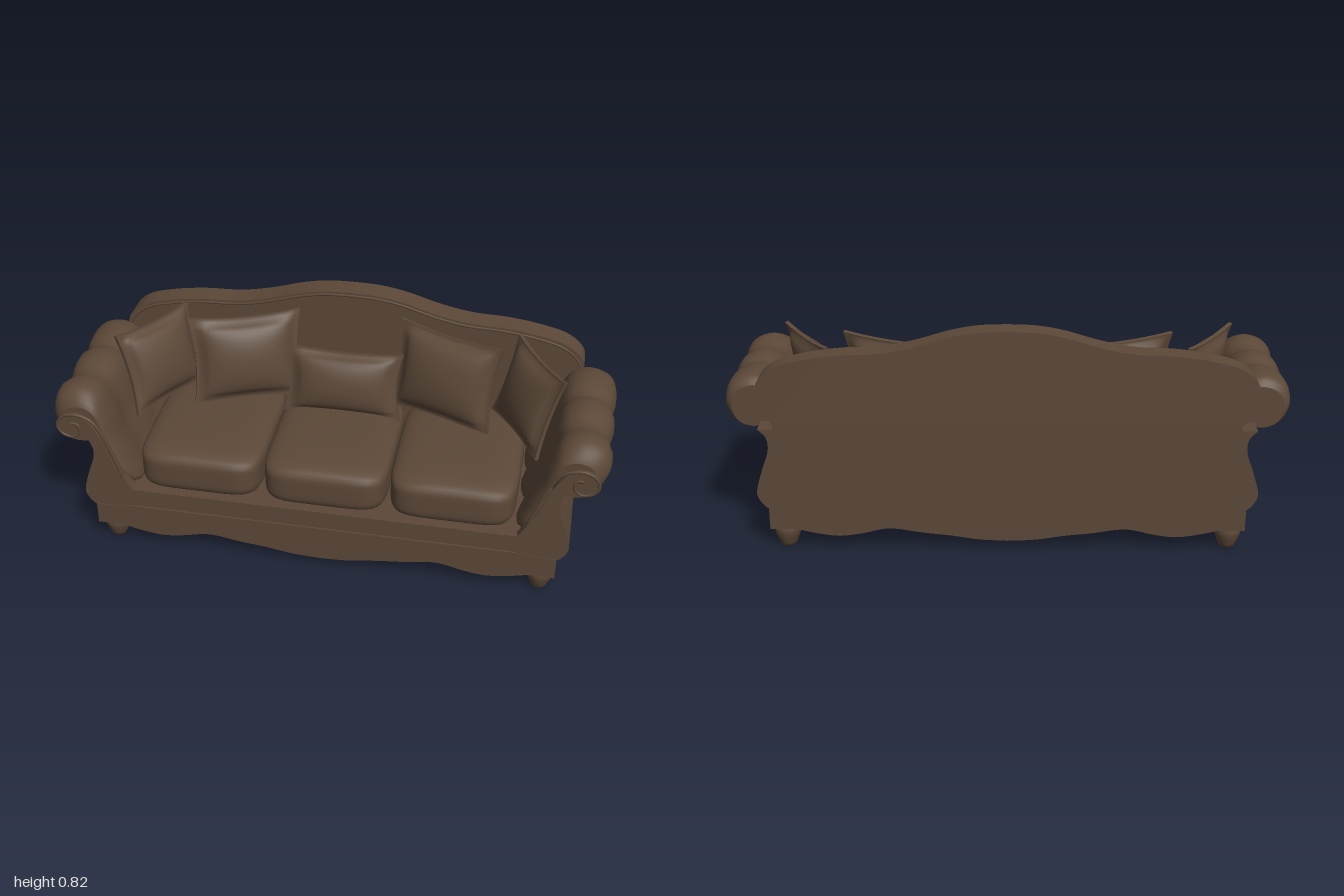
import * as THREE from 'three';
import { mergeVertices, toCreasedNormals } from 'three/addons/utils/BufferGeometryUtils.js';

const fabric = new THREE.MeshStandardMaterial({ color: 0x5c4838 });
fabric.name = 'brown upholstery';

const v2 = ([x, y]) => new THREE.Vector2(x, y);
const smooth = (pts, n = 6) => new THREE.SplineCurve(pts.map(v2)).getPoints(n * (pts.length - 1)).map(p => [p.x, p.y]);
const mirror = half => [...half, ...half.filter(p => p[0] > 1e-6).reverse().map(([x, y]) => [-x, y])];

function add(parent, name, geometry, x = 0, y = 0, z = 0) {
  const m = new THREE.Mesh(geometry, fabric);
  m.name = name;
  m.position.set(x, y, z);
  parent.add(m);
  return m;
}

// Front outline extruded between two depths
function slab(pts, z0, z1) {
  const g = new THREE.ExtrudeGeometry(new THREE.Shape(pts.map(v2)), { depth: z1 - z0, bevelEnabled: false });
  g.translate(0, 0, z0);
  return toCreasedNormals(g, 0.5);
}

function welt(pts, z, radius) {
  const curve = new THREE.CatmullRomCurve3(pts.map(([x, y]) => new THREE.Vector3(x, y, z)));
  return new THREE.TubeGeometry(curve, pts.length * 3, radius, 6);
}

// Puffed seat cushion: a box pulled onto a superellipsoid
function cushionGeometry(w, h, d) {
  let g = new THREE.BoxGeometry(2, 2, 2, 18, 12, 18);
  g.deleteAttribute('uv');
  g.deleteAttribute('normal');
  g = mergeVertices(g, 1e-4);
  const p = g.attributes.position, n = 6;
  for (let i = 0; i < p.count; i++) {
    const a = p.getX(i), b = p.getY(i), c = p.getZ(i);
    const s = 1 / Math.pow(Math.abs(a) ** n + Math.abs(b) ** n + Math.abs(c) ** n, 1 / n);
    const dome = b > 0 ? 1 - 0.1 * (a * a + c * c) : 1;
    p.setXYZ(i, a * s * w / 2, b * s * dome * h / 2, c * s * d / 2);
  }
  g.computeVertexNormals();
  return g;
}

// Throw pillow: pinched sides, pointed corners, flat flange round the edge
function pillowGeometry(w, h, t) {
  const g = new THREE.BoxGeometry(2, 2, 2, 22, 22, 1);
  const p = g.attributes.position;
  for (let i = 0; i < p.count; i++) {
    const u = p.getX(i), v = p.getY(i), side = Math.sign(p.getZ(i));
    const a = Math.min(1, Math.abs(u) / 0.88), b = Math.min(1, Math.abs(v) / 0.88);
    const puff = Math.pow((1 - a * a) * (1 - b * b), 0.45);
    p.setXYZ(i,
      u * w / 2 * (1 - 0.09 * (1 - v * v)),
      v * h / 2 * (1 - 0.09 * (1 - u * u)),
      side * (0.007 + t * puff));
  }
  g.computeVertexNormals();
  return g;
}

// Rolled arm padding: one section lofted along z, its size rippling with the tufts
function armGeometry(sx) {
  const section = [[.85, .443], [.91, .438], [.97, .462], [1, .53], [.975, .6], [.9, .63], [.83, .605],
    [.79, .53], [.76, .43], [.72, .33], [.69, .23], [.78, .23], [.82, .38]];
  const ring = new THREE.CatmullRomCurve3(section.map(([x, y]) => new THREE.Vector3(x, y, 0)), true).getPoints(52).slice(0, -1);
  const steps = [[.312, 0], [.312, .66], [.312, .66], [.302, .78], [.285, .89], [.25, .97], [.21, .99], [.17, .93],
    [.133, .86], [.1, .92], [.05, .98], [0, .985], [-.03, .93], [-.053, .89], [-.08, .94], [-.12, .985],
    [-.18, 1], [-.22, .97], [-.24, .9], [-.25, .8], [-.25, .8], [-.25, 0]];
  const cx = .86, cy = .46, n = ring.length, pos = [], idx = [];
  for (const [z, s] of steps)
    for (const q of ring) pos.push(sx * (cx + (q.x - cx) * s), cy + (q.y - cy) * s, z);
  for (let i = 0; i < steps.length - 1; i++)
    for (let j = 0; j < n; j++) {
      const a = i * n + j, b = i * n + (j + 1) % n, c = a + n, d = b + n;
      if (sx > 0) idx.push(a, c, b, b, c, d);
      else idx.push(a, b, c, b, d, c);
    }
  const g = new THREE.BufferGeometry();
  g.setAttribute('position', new THREE.Float32BufferAttribute(pos, 3));
  g.setIndex(idx);
  g.computeVertexNormals();
  return g;
}

export function createModel() {
  const sofa = new THREE.Group();
  sofa.name = 'sofa';

  // Frame with scalloped lower edge and swelling sides
  const scallop = smooth([[0, .035], [.1, .04], [.2, .055], [.3, .066], [.42, .082], [.52, .062], [.6, .052], [.68, .062], [.75, .078]]);
  const flank = smooth([[.85, .16], [.873, .185], [.885, .225], [.865, .3], [.838, .38], [.842, .43], [.87, .462]]);
  add(sofa, 'frame', slab(mirror([...scallop, [.847, .078], [.847, .16], ...flank,
    [.8, .462], [.75, .34], [.71, .24], [0, .24]]), -.332, .33));

  // Apron board and the rail above it
  add(sofa, 'apron', slab(mirror([...scallop, [.847, .078], [.847, .165], [0, .165]]), .325, .337));
  add(sofa, 'apronWelt', new THREE.BoxGeometry(1.48, .008, .012), 0, .168, .331);
  add(sofa, 'seatRailWelt', new THREE.BoxGeometry(1.42, .01, .012), 0, .24, .328);

  // Camel back
  const crest = smooth([[0, .822], [.1, .818], [.2, .8], [.32, .765], [.44, .742], [.58, .735], [.7, .718],
    [.8, .69], [.86, .64], [.872, .58], [.85, .52], [.815, .48]]);
  add(sofa, 'backrest', slab(mirror([...crest, [.82, .4], [.82, .2], [0, .2]]), -.335, -.248));
  const crestLine = crest.map(([x, y]) => [x * .985, y - .012]);
  add(sofa, 'backWelt', welt([...crestLine.slice(1).reverse().map(([x, y]) => [-x, y]), ...crestLine], -.248, .005));

  // Arms, front facings and scroll welts
  const facing = [...flank.slice(0, -6), ...smooth([[.85, .447], [.9, .447], [.945, .465], [.96, .5], [.945, .535], [.9, .548],
    [.85, .53], [.81, .47], [.78, .39], [.74, .31], [.7, .24]]), [.7, .165], [.85, .165]];
  const scroll = smooth([[.735, .3], [.765, .39], [.8, .48], [.84, .535], [.9, .552], [.945, .535], [.962, .5],
    [.945, .467], [.905, .457], [.88, .48], [.885, .51], [.91, .515]], 3);
  for (const sx of [1, -1]) {
    const side = sx > 0 ? 'left' : 'right';
    const flip = pts => pts.map(([x, y]) => [sx * x, y]);
    add(sofa, side + 'Arm', armGeometry(sx));
    add(sofa, side + 'ArmFacing', slab(flip(facing), .3, .334));
    add(sofa, side + 'ScrollWelt', welt(flip(scroll), .332, .006));
  }

  // Seat cushions
  for (const i of [-1, 0, 1])
    add(sofa, 'seatCushion', cushionGeometry(.455, .18, .57), i * .46, .332, .04);

  // Throw pillows: centre, then mirrored pairs turned inward
  const pillow = (name, w, h, t, x, y, z, yaw, lean) => {
    const m = add(sofa, name, pillowGeometry(w, h, t), x, y, z);
    m.rotation.order = 'YXZ';
    m.rotation.set(-lean, yaw, 0);
  };
  pillow('centrePillow', .44, .26, .055, 0, .525, -.1, 0, .22);
  for (const s of [1, -1]) {
    pillow('innerPillow', .42, .345, .06, s * .375, .575, -.13, -s * .38, .22);
    pillow('outerPillow', .35, .32, .05, s * .685, .575, -.06, -s * 1.02, .28);
  }

  // Turned feet
  const foot = new THREE.LatheGeometry(
    [[0, 0], [.028, 0], [.033, .012], [.04, .03], [.047, .05], [.048, .068], [.042, .085], [0, .085]].map(v2), 20);
  for (const x of [-.792, .792])
    for (const z of [-.28, .28]) add(sofa, 'foot', foot, x, 0, z);

  return sofa;
}
